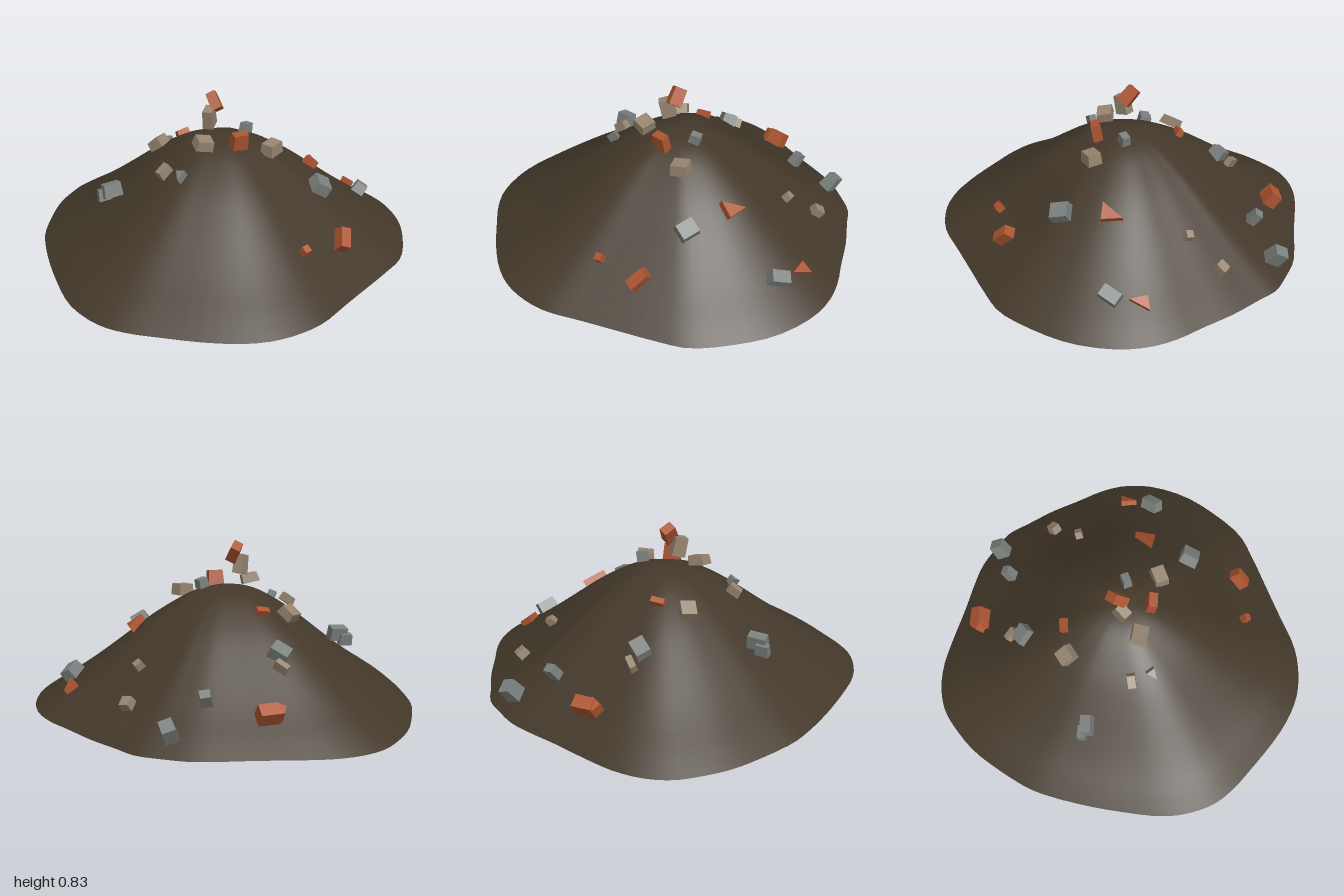
import * as THREE from 'three';

const mat = (name, color, extra = {}) => {
  const m = new THREE.MeshStandardMaterial({ color, ...extra });
  m.name = name;
  return m;
};

// Footprint of the mound as x, z pairs
const OUTLINE = [
  .975, 0, .94, .21, .85, .4, .73, .57, .595, .66, .4, .77, .24, .86, .08, .95, -.055, .985, -.19, .99,
  -.32, .96, -.47, .89, -.66, .77, -.775, .69, -.865, .6, -.93, .48, -.97, .34, -.98, .13, -.975, -.08,
  -.955, -.28, -.93, -.4, -.855, -.58, -.775, -.73, -.685, -.84, -.58, -.935, -.46, -.985, -.325, -1,
  -.18, -.985, .03, -.95, .19, -.93, .315, -.905, .435, -.85, .54, -.79, .62, -.69, .72, -.565,
  .82, -.41, .9, -.29, .955, -.16,
];
// Height of the slope at even steps from summit to rim
const HEIGHTS = [.59, .582, .548, .492, .427, .352, .275, .2, .13, .066, 0];
const SUMMIT = [-.03, -.03];

function moundGeometry() {
  const pts = [];
  for (let i = 0; i < OUTLINE.length; i += 2) pts.push(new THREE.Vector3(OUTLINE[i], 0, OUTLINE[i + 1]));
  const rim = new THREE.CatmullRomCurve3(pts, true).getPoints(96).slice(0, 96);
  const slope = new THREE.SplineCurve(HEIGHTS.map((h, i) => new THREE.Vector2(i / 10, h)));
  const n = rim.length, rings = 24, pos = [], idx = [];
  for (let r = 0; r <= rings; r++) {
    const p = slope.getPoint(r / rings), t = p.x;
    for (const q of rim) pos.push(SUMMIT[0] * (1 - t) + q.x * t, p.y, SUMMIT[1] * (1 - t) + q.z * t);
  }
  for (let r = 0; r < rings; r++) for (let i = 0; i < n; i++) {
    const a = r * n + i, b = r * n + (i + 1) % n, c = a + n, d = b + n;
    if (r > 0) idx.push(a, b, c);
    idx.push(b, d, c);
  }
  // Flat underside with its own vertices
  const base = pos.length / 3;
  for (const q of rim) pos.push(q.x, 0, q.z);
  pos.push(0, 0, 0);
  for (let i = 0; i < n; i++) idx.push(base + n, base + i, base + (i + 1) % n);
  const g = new THREE.BufferGeometry();
  g.setAttribute('position', new THREE.Float32BufferAttribute(pos, 3));
  g.setIndex(idx);
  g.computeVertexNormals();
  return g;
}

// Broken block: a unit box whose top face is slightly smaller and shifted
function chunkGeometry() {
  const g = new THREE.BoxGeometry(1, 1, 1), p = g.attributes.position;
  for (let i = 0; i < p.count; i++) if (p.getY(i) > 0) {
    p.setX(i, p.getX(i) * .9 + .04);
    p.setZ(i, p.getZ(i) * .92 - .03);
  }
  return g;
}

// Triangular shard lying flat, its point toward -z
function shardGeometry() {
  const s = new THREE.Shape([[-.5, -.5], [.5, -.35], [.1, .5]].map(([x, y]) => new THREE.Vector2(x, y)));
  const g = new THREE.ExtrudeGeometry(s, { depth: 1, bevelEnabled: false });
  return g.translate(0, 0, -.5).rotateX(-Math.PI / 2);
}

// position, size, yaw, extra tilt about x and z
const BRICKS = [
  [-.065, .165, -.82, .11, .08, .07, .1],
  [-.11, .17, -.815, .06, .06, .05, -.4],
  [-.155, .51, -.305, .075, .04, .035, .2],
  [-.07, .77, -.04, .055, .095, .07, -.5, -.5, .35],
  [0, .6, .125, .085, .09, .05, .08],
  [.37, .195, .585, .06, .06, .11, -.15, .35],
  [.135, .205, .64, .04, .045, .04, .35],
];
const CONCRETE = [
  [-.19, .36, -.53, .1, .065, .08, -.6],
  [-.615, .33, -.12, .1, .07, .06, .15, 0, -.5],
  [-.65, .3, -.14, .07, .06, .04, .1, 0, -.5],
  [.1, .61, -.02, .06, .05, .045, .5],
  [.39, .36, .29, .09, .06, .1, -.15],
  [.78, .16, .03, .07, .06, .105, -.6],
  [.39, .11, -.8, .07, .09, .08, .1],
  [.205, .215, -.7, .055, .075, .05, -.05],
];
const STONE = [
  [-.18, .31, -.6, .075, .05, .035, -.7],
  [-.305, .49, -.27, .085, .05, .085, .7],
  [.545, .15, -.51, .055, .045, .06, -.6],
  [.47, .285, -.345, .045, .04, .04, .3],
  [-.39, .48, .08, .075, .045, .045, .3],
  [-.18, .605, .09, .09, .05, .085, -.1, 0, -.5],
  [.175, .545, .145, .095, .06, .075, .5, -.3, .25],
  [-.11, .7, -.01, .055, .1, .075, -.7, .15, -.15],
];
const BRICK_SHARDS = [
  [.44, .375, .03, .09, .07, .12, -.3],
  [.79, .125, -.11, .07, .04, .1, 3.1],
];
const CONCRETE_SHARDS = [[-.335, .485, .17, .06, .04, .05, .3]];

export function createModel() {
  const model = new THREE.Group();
  model.name = 'rubbleMound';
  const soil = mat('darkSoil', 0x43382a);
  const brick = mat('brickOrange', 0xac5430, { flatShading: true });
  const concrete = mat('concreteGrey', 0x7a807d, { flatShading: true });
  const stone = mat('stoneTan', 0x95846f, { flatShading: true });

  const mound = new THREE.Mesh(moundGeometry(), soil);
  mound.name = 'mound';
  model.add(mound);

  const chunk = chunkGeometry(), shard = shardGeometry();
  const up = new THREE.Vector3(0, 1, 0);
  const scatter = (name, list, geometry, material) => {
    const group = new THREE.Group();
    group.name = name;
    for (const [x, y, z, w, h, d, yaw, tiltX = 0, tiltZ = 0] of list) {
      const m = new THREE.Mesh(geometry, material);
      m.name = name.replace(/s$/, '');
      m.position.set(x, y, z);
      m.scale.set(w, h, d);
      // Lay each piece along the slope beneath it
      const r = Math.hypot(x, z), k = Math.min(r * 1.8, .7) / r;
      m.quaternion.setFromUnitVectors(up, new THREE.Vector3(x * k, 1, z * k).normalize())
        .multiply(new THREE.Quaternion().setFromEuler(new THREE.Euler(tiltX, yaw, tiltZ, 'YXZ')));
      group.add(m);
    }
    model.add(group);
  };
  scatter('bricks', BRICKS, chunk, brick);
  scatter('concreteBlocks', CONCRETE, chunk, concrete);
  scatter('stones', STONE, chunk, stone);
  scatter('brickShards', BRICK_SHARDS, shard, brick);
  scatter('concreteShards', CONCRETE_SHARDS, shard, concrete);
  return model;
}
